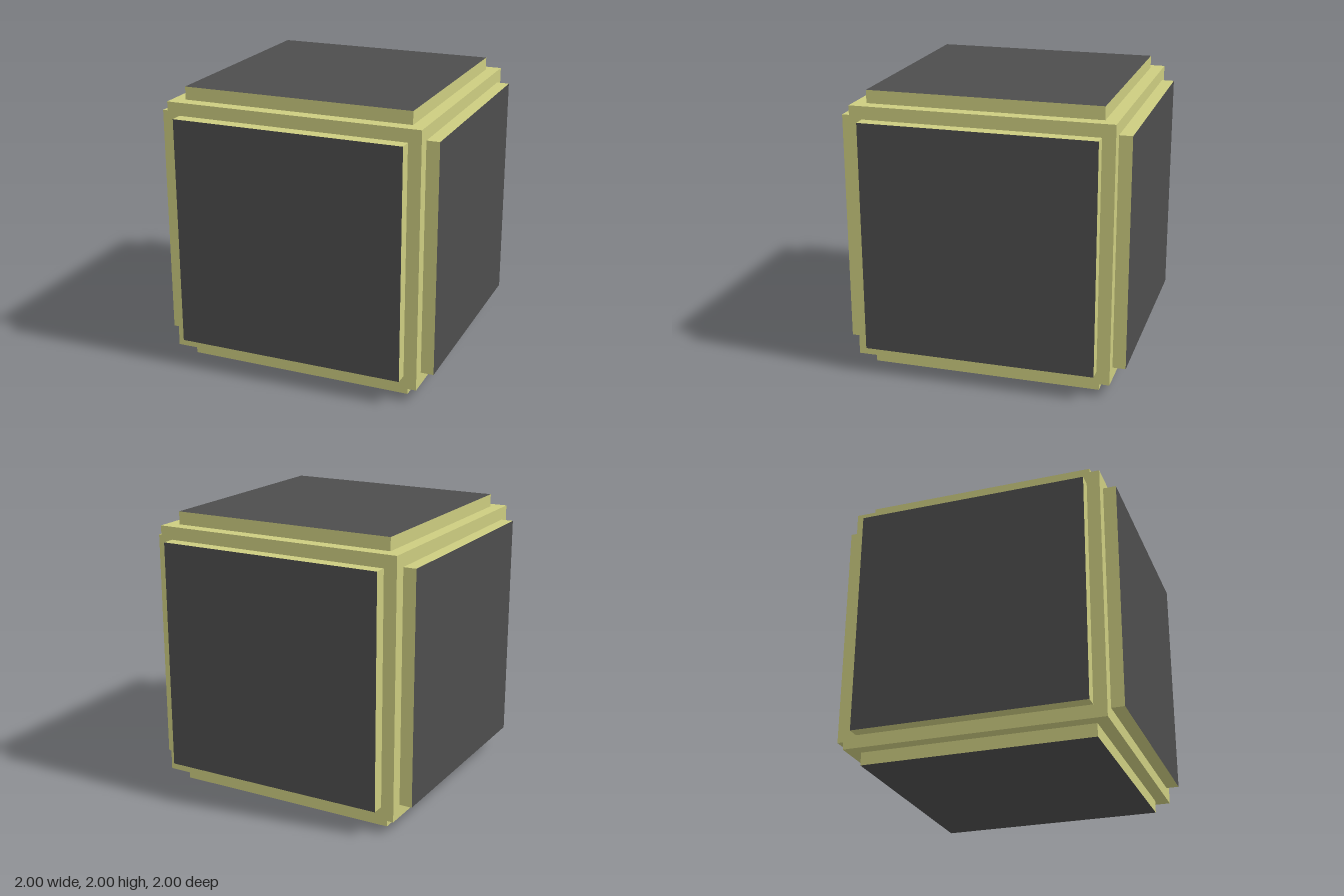
import * as THREE from 'three';

const CORE = 0.909;   // half size of the core cube
const PANEL = 0.818;  // half width of each raised panel
const OUTER = 1;      // distance from the centre to a panel's face

export function createModel() {
  const model = new THREE.Group();
  model.name = 'panelledCube';
  const frameMat = new THREE.MeshStandardMaterial({ color: 0xcccc80, flatShading: true });
  const panelMat = new THREE.MeshStandardMaterial({ color: 0x4d4d4d, flatShading: true });

  const addMesh = (parent, name, geometry, material) => {
    const mesh = new THREE.Mesh(geometry, material);
    mesh.name = name;
    parent.add(mesh);
  };

  // Core cube
  addMesh(model, 'core', new THREE.BoxGeometry(2 * CORE, 2 * CORE, 2 * CORE), frameMat);

  // Raised panel: a square rim carrying a dark face, built facing +y
  const radius = PANEL * Math.SQRT2;
  const rim = new THREE.CylinderGeometry(radius, radius, OUTER - CORE, 4, 1, true, Math.PI / 4)
    .translate(0, (OUTER + CORE) / 2, 0);
  const face = new THREE.PlaneGeometry(2 * PANEL, 2 * PANEL)
    .rotateX(-Math.PI / 2)
    .translate(0, OUTER, 0);

  // One panel on each side of the cube
  const q = Math.PI / 2;
  const sides = {
    top: [0, 0], bottom: [2 * q, 0],
    front: [q, 0], back: [-q, 0],
    left: [0, -q], right: [0, q],
  };
  for (const [side, [rx, rz]] of Object.entries(sides)) {
    const panel = new THREE.Group();
    panel.name = side + 'Panel';
    panel.rotation.set(rx, 0, rz);
    addMesh(panel, side + 'Rim', rim, frameMat);
    addMesh(panel, side + 'Face', face, panelMat);
    model.add(panel);
  }

  // Stand the cube on the ground
  for (const part of model.children) part.position.y = OUTER;
  return model;
}
